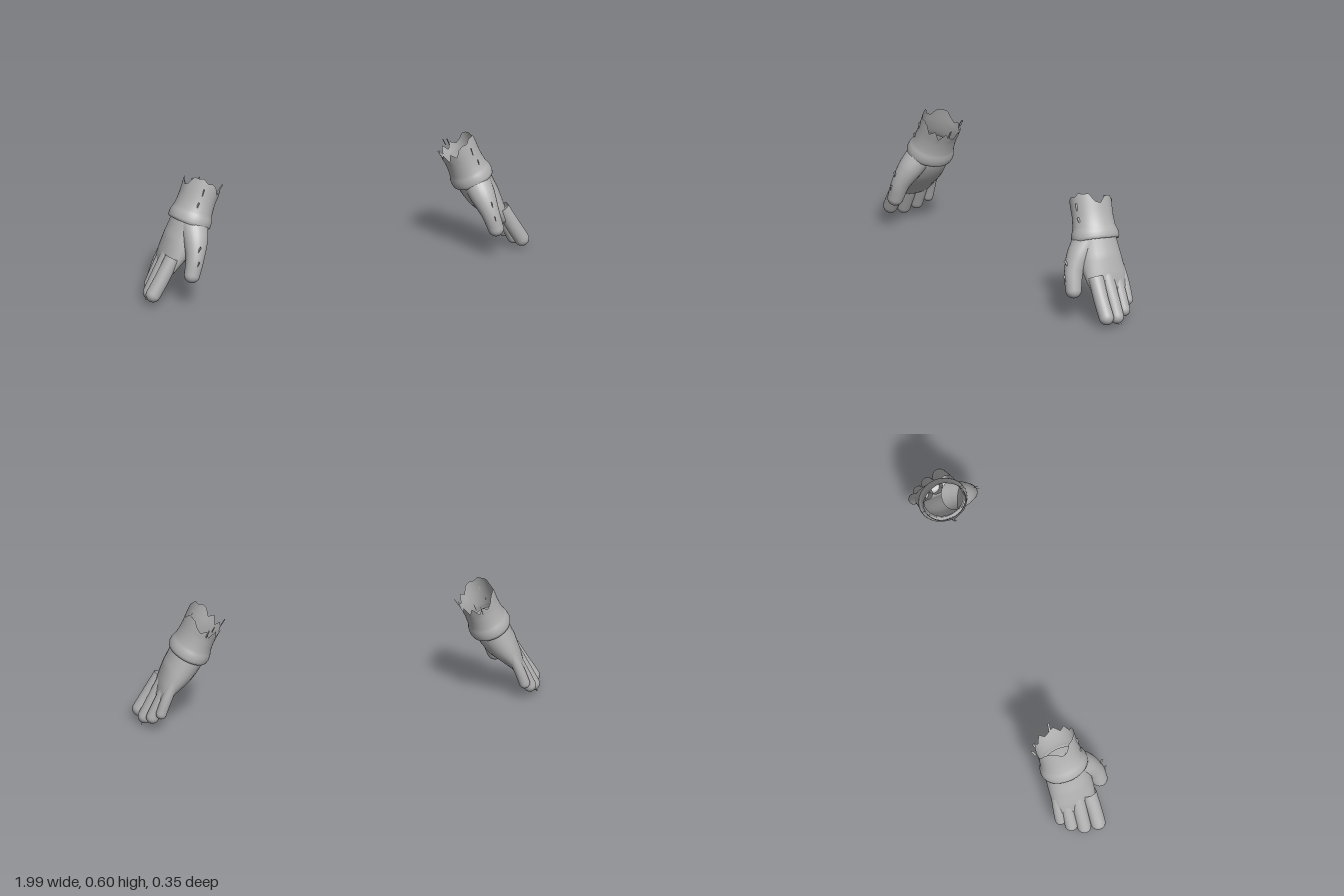
import * as THREE from 'three';

const fabric = new THREE.MeshStandardMaterial({ color: 0xb2b2b2, side: THREE.DoubleSide });
fabric.name = 'grey fabric';

// Skin a list of rings (each a list of points) running along a limb.
function skin(rings, side) {
  const n = rings[0].length, pos = [], index = [];
  rings.forEach(r => r.forEach(p => pos.push(p.x * side, p.y, p.z)));
  for (let i = 0; i < rings.length - 1; i++) {
    for (let j = 0; j < n; j++) {
      const a = i * n + j, b = i * n + (j + 1) % n, c = a + n, d = b + n;
      if (side > 0) index.push(a, b, c, b, d, c);
      else index.push(a, c, b, b, c, d);
    }
  }
  const g = new THREE.BufferGeometry();
  g.setAttribute('position', new THREE.Float32BufferAttribute(pos, 3));
  g.setIndex(index);
  g.computeVertexNormals();
  return g;
}

// Oval ring square to the direction t: half-thickness a, half-width b (towards z).
function ring(c, t, a, b, n, lift = () => 0) {
  const v = new THREE.Vector3(0, 0, 1).addScaledVector(t, -t.z).normalize();
  const u = v.clone().cross(t);
  return Array.from({ length: n }, (_, j) => {
    const th = (j / n) * Math.PI * 2;
    return c.clone().addScaledVector(u, a * Math.cos(th))
      .addScaledVector(v, b * Math.sin(th)).addScaledVector(t, lift(j / n));
  });
}

// Smooth limb through sections [x, y, z, a, b], with a rounded far end.
function limb(sections, side, n = 24) {
  const path = new THREE.CatmullRomCurve3(sections.map(s => new THREE.Vector3(s[0], s[1], s[2])));
  const size = new THREE.CatmullRomCurve3(sections.map((s, i) => new THREE.Vector3(s[3], s[4], i * 0.001)));
  const rings = [], steps = 20;
  for (let i = 0; i <= steps; i++) {
    const s = size.getPoint(i / steps);
    rings.push(ring(path.getPoint(i / steps), path.getTangent(i / steps), s.x, s.y, n));
  }
  const end = path.getPoint(1), t = path.getTangent(1), s = size.getPoint(1);
  for (let k = 1; k <= 7; k++) {
    const q = (k / 7) * Math.PI / 2, f = Math.max(Math.cos(q), 0.002);
    rings.push(ring(end.clone().addScaledVector(t, s.x * Math.sin(q)), t, s.x * f, s.y * f, n));
  }
  return skin(rings, side);
}

const finger = (pts, r) => pts.map((p, i) => [...p, r * (i ? 1 : 0.95), r * (i ? 1 : 1.05)]);

const limbs = {
  palm: [
    [0.725, 0.42, -0.03, 0.08, 0.098], [0.752, 0.35, -0.028, 0.084, 0.106],
    [0.79, 0.285, -0.026, 0.078, 0.11], [0.838, 0.215, -0.025, 0.054, 0.108],
    [0.865, 0.17, -0.024, 0.036, 0.1],
  ],
  thumb: [
    [0.735, 0.38, 0.02, 0.07, 0.062], [0.75, 0.31, 0.075, 0.06, 0.058],
    [0.77, 0.235, 0.115, 0.044, 0.046], [0.792, 0.16, 0.13, 0.038, 0.039],
  ],
  indexFinger: finger([[0.858, 0.23, 0.045], [0.915, 0.13, 0.05], [0.96, 0.056, 0.05]], 0.036),
  middleFinger: finger([[0.855, 0.23, -0.015], [0.91, 0.12, -0.017], [0.948, 0.045, -0.017]], 0.034),
  ringFinger: finger([[0.843, 0.23, -0.07], [0.89, 0.13, -0.073], [0.922, 0.062, -0.073]], 0.031),
  littleFinger: finger([[0.825, 0.25, -0.108], [0.865, 0.16, -0.115], [0.888, 0.096, -0.116]], 0.026),
};

// Torn rim heights, counted from the inner side through the thumb side, around the cuff.
const teeth = [0.165, 0.185, 0.15, 0.19, 0.165, 0.2, 0.21, 0.205, 0.222, 0.215, 0.215, 0.175,
  0.165, 0.195, 0.2, 0.195, 0.17, 0.155, 0.175, 0.145, 0.185, 0.15, 0.19, 0.15];
function rim(f) {
  const k = f * teeth.length, i = Math.floor(k) % teeth.length;
  return THREE.MathUtils.lerp(teeth[i], teeth[(i + 1) % teeth.length], k - Math.floor(k));
}

// Flared cuff with a rolled lower hem and a ragged open top.
function cuff(side) {
  const base = new THREE.Vector3(0.738, 0.375, -0.03);
  const axis = new THREE.Vector3(-0.4, 0.91, -0.1).normalize();
  const n = 72;
  // height, half-thickness, half-width
  const profile = [[0.012, 0.08, 0.1], [-0.006, 0.092, 0.111], [-0.006, 0.099, 0.117],
    [0.008, 0.103, 0.12], [0.03, 0.101, 0.118], [0.045, 0.096, 0.112], [0.06, 0.092, 0.107],
    [0.09, 0.089, 0.104], [0.12, 0.088, 0.102]];
  const rings = profile.map(([h, a, b]) =>
    ring(base.clone().addScaledVector(axis, h), axis, a, b, n));
  for (const k of [0.35, 0.7, 1]) {
    rings.push(ring(base.clone().addScaledVector(axis, 0.12), axis, 0.088 + 0.003 * k, 0.102 + 0.002 * k,
      n, f => k * (rim(f) - 0.12)));
  }
  return skin(rings, side);
}

// Loose frayed strips: centre, length, tilt about x, tilt about z.
const strips = [
  [[0.67, 0.515, -0.16], 0.045, -0.35, 0.3], [[0.64, 0.53, -0.145], 0.03, -0.2, 0.4],
  [[0.7, 0.54, 0.053], 0.035, 0.05, 0.3], [[0.73, 0.485, 0.06], 0.025, 0.3, 0.3],
  [[0.575, 0.51, -0.04], 0.05, 0.1, 0.6], [[0.765, 0.285, 0.148], 0.05, 0.45, 0.3],
  [[0.775, 0.22, 0.165], 0.035, 0.3, 0.3], [[0.962, 0.014, -0.02], 0.024, 1.2, 0.4],
];

function glove(side) {
  const g = new THREE.Group();
  const add = (name, geometry) => {
    const m = new THREE.Mesh(geometry, fabric);
    m.name = name;
    g.add(m);
    return m;
  };
  for (const [name, sections] of Object.entries(limbs)) add(name, limb(sections, side));
  add('cuff', cuff(side));
  for (const [p, length, rx, rz] of strips) {
    const s = add('frayedStrip', new THREE.BoxGeometry(0.002, length, 0.01));
    s.position.set(p[0] * side, p[1], p[2]);
    s.rotation.set(rx, 0, rz * side);
  }
  return g;
}

export function createModel() {
  const model = new THREE.Group();
  model.name = 'pairOfGloves';
  for (const [name, side] of [['leftGlove', 1], ['rightGlove', -1]]) {
    const g = glove(side);
    g.name = name;
    model.add(g);
  }
  return model;
}
